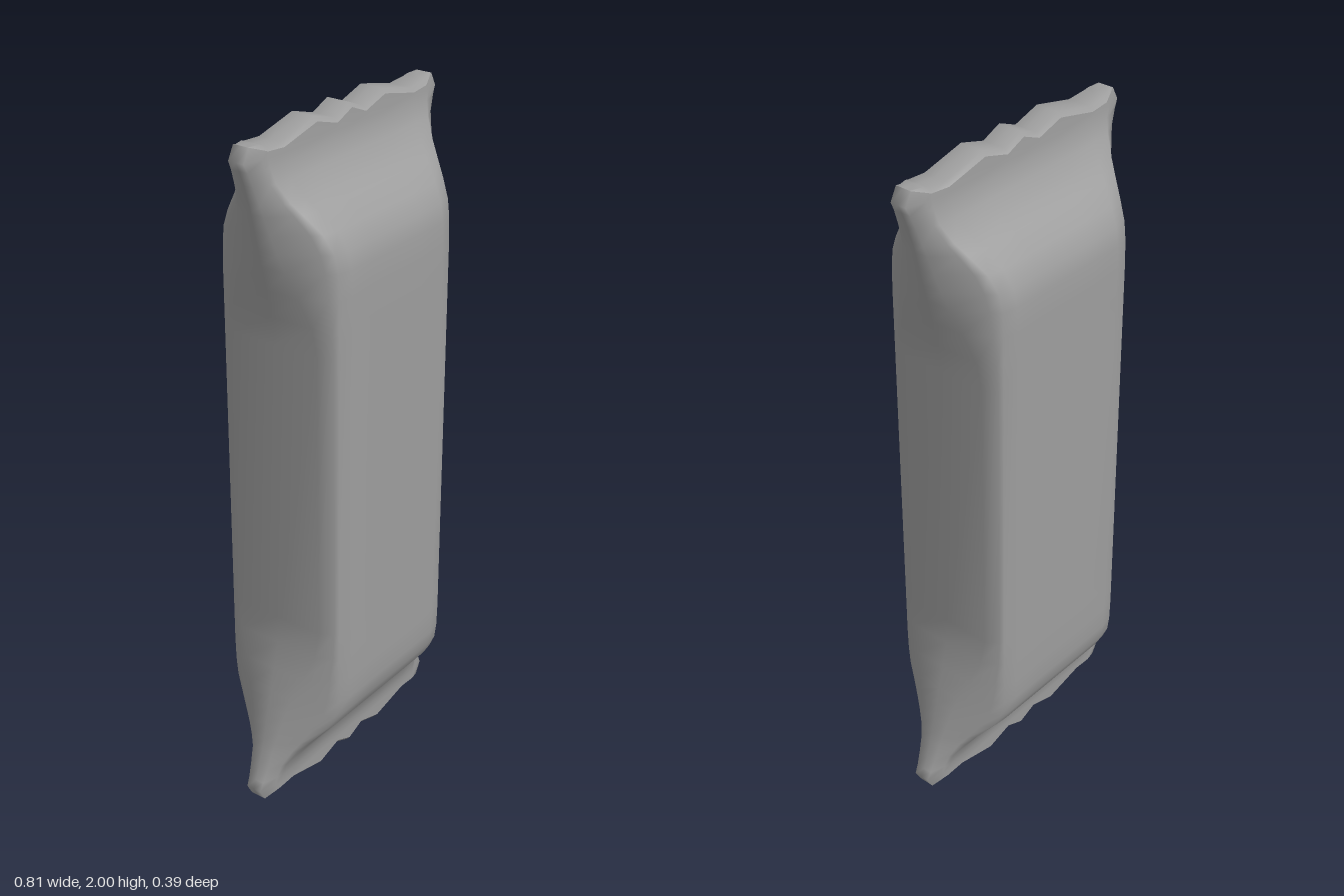
import * as THREE from 'three';

const BEVEL = 0.012;
// Crimped edge height, for each point of a quarter section (middle to side)
const ZIGZAG = [2, 1.975, 2, 1.97, 1.975, 1.98, 1.994, 1.994];

// Upper half sections: y, half width, half depth, half width of front panel, half height of side edge
const SECTIONS = [
  [1.42, 0.275, 0.197, 0.246, 0.14],
  [1.5, 0.282, 0.197, 0.246, 0.13],
  [1.58, 0.3, 0.197, 0.246, 0.1],
  [1.65, 0.318, 0.195, 0.246, 0.075],
  [1.7, 0.33, 0.186, 0.25, 0.06],
  [1.75, 0.342, 0.16, 0.262, 0.05],
  [1.8, 0.354, 0.118, 0.288, 0.04],
  [1.83, 0.362, 0.092, 0.305, 0.035],
  [1.88, 0.378, 0.06, 0.325, 0.03],
  [1.92, 0.393, 0.049, 0.332, 0.026],
  [1.945, 0.405, 0.046, 0.335, 0.024],
  [null, 0.385, 0.045, 0.335, 0.024], // crimped rim
];

// Quarter outline from the middle of the front to the middle of the side, as [x, y, z]
function quarter([y, w, d, f, s]) {
  const edge = d * 0.955;
  const outline = [
    [0, d], [0.18 * f, d], [0.43 * f, d], [0.82 * f, d], [f, edge],
    [f + (w - f) * 0.25, edge + (s - edge) * 0.25], [w, s], [w, 0],
  ];
  return outline.map(([x, z], j) => [x, y ?? ZIGZAG[j] - BEVEL, z]);
}

// Full closed outline, mirrored from the quarter
function ring(section) {
  const q = quarter(section);
  const flip = (p, sx, sz) => [p[0] * sx, p[1], p[2] * sz];
  const inner = q.slice(0, 7).reverse();
  return [
    ...q,
    ...inner.map((p) => flip(p, 1, -1)),
    ...q.slice(1).map((p) => flip(p, -1, -1)),
    ...inner.slice(0, 6).map((p) => flip(p, -1, 1)),
  ];
}

// Smooth skin through rows of points
function skin(rows, closed) {
  const n = rows[0].length;
  const index = [];
  for (let i = 0; i < rows.length - 1; i++) {
    for (let j = 0; j < (closed ? n : n - 1); j++) {
      const k = (j + 1) % n;
      const a = i * n + j, b = i * n + k, c = b + n, d = a + n;
      index.push(a, b, c, a, c, d);
    }
  }
  const geometry = new THREE.BufferGeometry();
  geometry.setAttribute('position', new THREE.Float32BufferAttribute(rows.flat(2), 3));
  geometry.setIndex(index);
  geometry.computeVertexNormals();
  return geometry;
}

export function createModel() {
  const group = new THREE.Group();
  group.name = 'wrappedBar';
  const material = new THREE.MeshStandardMaterial({ color: 0x9d9d9d });

  // Wrapper body, the same at both ends
  const upper = SECTIONS.map(ring);
  const lower = upper.map((row) => row.map(([x, y, z]) => [x, 2 - y, z])).reverse();
  const body = new THREE.Mesh(skin([...lower, ...upper], true), material);
  body.name = 'wrapperBody';
  group.add(body);

  // Zigzag end strips with a slightly raised middle
  const half = quarter(SECTIONS[SECTIONS.length - 1]).slice(0, 7);
  const rim = [...half.slice(1).reverse().map(([x, y, z]) => [-x, y, z]), ...half];
  const stripRows = [1, 0.75, 0, -0.75, -1].map((t) =>
    rim.map(([x, y, z], j) => {
      const atSide = j === 0 || j === rim.length - 1;
      return [x, y + (atSide || Math.abs(t) === 1 ? 0 : BEVEL), z * t];
    }));
  const strip = skin(stripRows, false);

  const topEdge = new THREE.Mesh(strip, material);
  topEdge.name = 'topCrimpedEdge';
  const bottomEdge = new THREE.Mesh(strip, material);
  bottomEdge.name = 'bottomCrimpedEdge';
  bottomEdge.rotation.x = Math.PI;
  bottomEdge.position.y = 2;
  group.add(topEdge, bottomEdge);

  return group;
}
